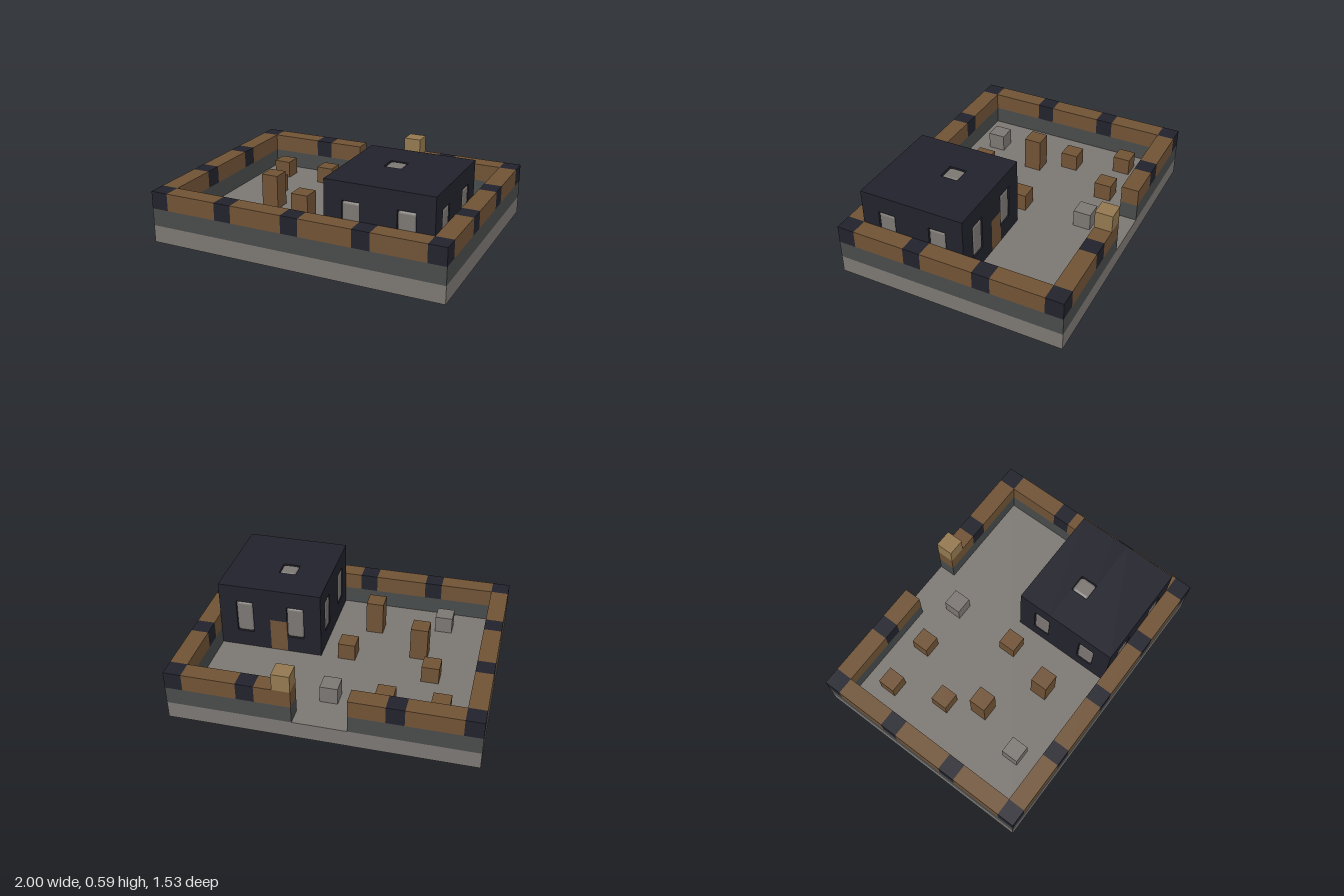
import * as THREE from 'three';
import { RoundedBoxGeometry } from 'three/addons/geometries/RoundedBoxGeometry.js';

const U = 2 / 17; // one block

export function createModel() {
  const model = new THREE.Group();
  model.name = 'walledHouse';

  const mat = (name, color) => {
    const m = new THREE.MeshStandardMaterial({ color });
    m.name = name;
    return m;
  };
  const stone = mat('paleStone', 0x7b7672);
  const slate = mat('darkSlate', 0x474b4a);
  const wood = mat('brownWood', 0x6f5235);
  const dark = mat('nightBlue', 0x22222c);
  const tan = mat('tanWood', 0x93784f);

  const group = (name) => {
    const g = new THREE.Group();
    g.name = name;
    model.add(g);
    return g;
  };

  // Box from block indices: i along x (0-17), k up, j along z (0-13)
  const block = (parent, name, material, i0, i1, k0, k1, j0, j1, radius = 0) => {
    const size = [(i1 - i0) * U, (k1 - k0) * U, (j1 - j0) * U];
    const geo = radius
      ? new RoundedBoxGeometry(...size, 3, radius)
      : new THREE.BoxGeometry(...size);
    const mesh = new THREE.Mesh(geo, material);
    mesh.name = name;
    mesh.position.set(((i0 + i1) / 2 - 8.5) * U, ((k0 + k1) / 2) * U, ((j0 + j1) / 2 - 6.5) * U);
    parent.add(mesh);
  };

  // Ground slab
  block(model, 'groundSlab', stone, 0, 17, 0, 1, 0, 13);

  // Perimeter wall: slate course below
  const wall = group('perimeterWall');
  block(wall, 'frontCourse', slate, 0, 17, 1, 2, 12, 13);
  block(wall, 'backCourseRight', slate, 0, 7, 1, 2, 0, 1);
  block(wall, 'backCourseLeft', slate, 10, 17, 1, 2, 0, 1);
  for (const i of [0, 16]) block(wall, 'sideCourse', slate, i, i + 1, 1, 2, 1, 12);

  // Dark posts and wooden rails on top, with the gateway left open at the back
  for (const i of [0, 4, 8, 12, 16]) {
    block(wall, 'post', dark, i, i + 1, 2, 3, 12, 13);
    if (i !== 8) block(wall, 'post', dark, i, i + 1, 2, 3, 0, 1);
    if (i < 16) block(wall, 'frontRail', wood, i + 1, i + 4, 2, 3, 12, 13);
  }
  for (const [a, b] of [[1, 4], [5, 7], [10, 12], [13, 16]])
    block(wall, 'backRail', wood, a, b, 2, 3, 0, 1);
  for (const i of [0, 16]) {
    for (const j of [4, 8]) block(wall, 'post', dark, i, i + 1, 2, 3, j, j + 1);
    for (const j of [1, 5, 9]) block(wall, 'sideRail', wood, i, i + 1, 2, 3, j, j + 3);
  }
  block(wall, 'gateLamp', tan, 10, 11, 3, 4, 0, 1);

  // House walls, built around the window and door openings
  const house = group('house');
  block(house, 'frontSill', dark, 10, 16, 1, 2, 11, 12);
  block(house, 'backSill', dark, 10, 12, 1, 2, 6, 7);
  block(house, 'backSill', dark, 13, 16, 1, 2, 6, 7);
  for (const j of [6, 11])
    for (const i of [10, 15]) block(house, 'corner', dark, i, i + 1, 2, 4, j, j + 1);
  block(house, 'frontPier', dark, 12, 14, 2, 4, 11, 12);
  block(house, 'backPier', dark, 13, 14, 2, 4, 6, 7);
  block(house, 'doorLintel', dark, 12, 13, 3, 4, 6, 7);
  for (const i of [10, 15]) {
    block(house, 'sideSill', dark, i, i + 1, 1, 2, 7, 11);
    block(house, 'sidePier', dark, i, i + 1, 2, 4, 8, 10);
  }
  block(house, 'door', wood, 12, 13, 1, 3, 6, 7);

  // Flat roof around the skylight
  block(house, 'roof', dark, 10, 16, 4, 5, 6, 8);
  block(house, 'roof', dark, 10, 16, 4, 5, 9, 12);
  block(house, 'roof', dark, 10, 12, 4, 5, 8, 9);
  block(house, 'roof', dark, 13, 16, 4, 5, 8, 9);
  const R = 0.022;
  block(house, 'skylight', stone, 12, 13, 4, 5, 8, 9, R);

  // Rounded window blocks, two on each side
  for (const j of [6, 11])
    for (const i of [11, 14]) block(house, 'window', stone, i, i + 1, 2, 4, j, j + 1, R);
  for (const i of [10, 15])
    for (const j of [7, 10]) block(house, 'window', stone, i, i + 1, 2, 4, j, j + 1, R);

  // Stumps and boulders in the yard: [i, j, height]
  const yard = group('yard');
  for (const [i, j, h] of [[2, 2, 1], [5, 2, 1], [3, 5, 1], [8, 6, 1], [4, 7, 2], [7, 9, 2]])
    block(yard, 'stump', wood, i, i + 1, 1, 1 + h, j, j + 1);
  for (const [i, j] of [[8, 2], [3, 10]])
    block(yard, 'boulder', stone, i, i + 1, 1, 2, j, j + 1);

  return model;
}
